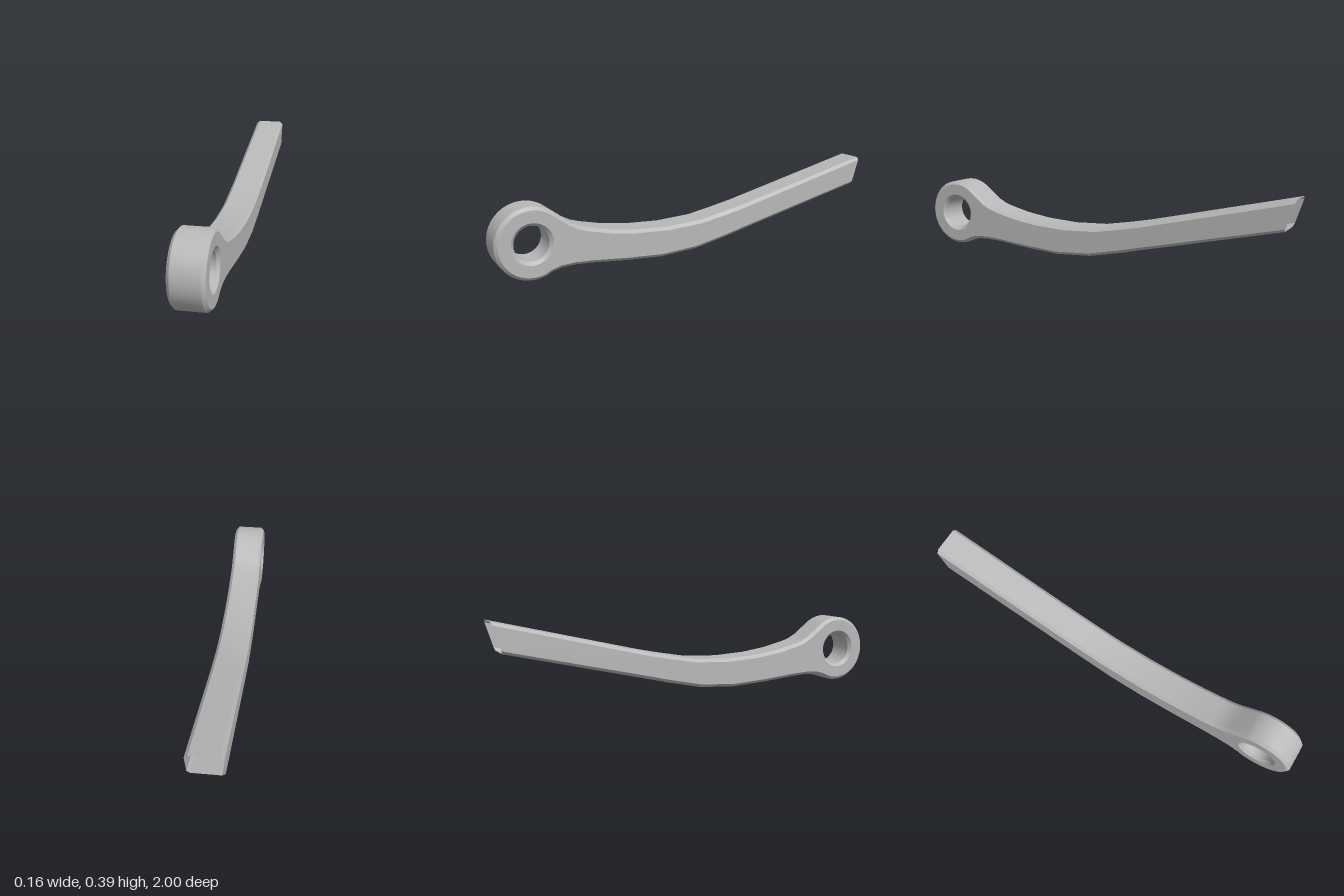
import * as THREE from 'three';

const HALF = 0.078;            // half width at the flat sides
const BEVEL = 0.015;
const EDGE = HALF - BEVEL;     // half width at the rim of the bevel
const EYE = { z: 0.8315, y: 0.1687, r: 0.1687, hole: 0.082 };

const circlePoint = (a, r) => [EYE.z + r * Math.cos(a), EYE.y + r * Math.sin(a)];

// Outline as [z, y]: along the top, round the eye, back along the underside
function outline() {
  const top = [[-1, 0.395], [-0.27, 0.217], [-0.16, 0.194], [-0.02, 0.168], [0.16, 0.158],
    [0.33, 0.166], [0.46, 0.184], [0.57, 0.209], [0.61, 0.222], [0.65, 0.243], [0.695, 0.277]];
  const under = [[0.74, 0.027], [0.7, 0.038], [0.635, 0.042], [0.55, 0.038], [0.38, 0.023],
    [0.195, 0.013], [0.01, 0.026], [-0.16, 0.062], [-0.27, 0.089], [-0.955, 0.253]];
  const arc = [];
  for (let i = 0; i <= 26; i++) {
    arc.push(circlePoint(THREE.MathUtils.degToRad(122 - (233 * i) / 26), EYE.r));
  }
  return [...top, ...arc, ...under];
}

// Move the outline inwards; the two ends slide along the slanted cut
function inset(points, d) {
  const last = points.length - 1;
  return points.map(([z, y], i) => {
    if (i === 0 || i === last) {
      const o = points[last - i];
      const l = Math.hypot(o[0] - z, o[1] - y);
      return [z + (o[0] - z) * d / l, y + (o[1] - y) * d / l];
    }
    const a = points[i - 1], b = points[i + 1];
    const l = Math.hypot(b[0] - a[0], b[1] - a[1]);
    return [z + (b[1] - a[1]) * d / l, y - (b[0] - a[0]) * d / l];
  });
}

// Smooth strip of surface between two matching lines at x = xa and x = xb
function strip(a, xa, b, xb, closed = false) {
  const n = a.length, pos = [], index = [];
  for (let i = 0; i < n; i++) pos.push(xa, a[i][1], a[i][0], xb, b[i][1], b[i][0]);
  for (let i = 0; i < (closed ? n : n - 1); i++) {
    const p = 2 * i, q = 2 * ((i + 1) % n);
    index.push(p, p + 1, q, q, p + 1, q + 1);
  }
  const g = new THREE.BufferGeometry();
  g.setAttribute('position', new THREE.Float32BufferAttribute(pos, 3));
  g.setIndex(index);
  g.computeVertexNormals();
  return g;
}

// Flat side plate with the round hole
function sidePlate(points, hole, side) {
  const flat = (p) => p.map(([z, y]) => new THREE.Vector2(-side * z, y));
  const shape = new THREE.Shape(flat(points));
  shape.holes.push(new THREE.Path(flat(hole)));
  return new THREE.ShapeGeometry(shape).rotateY(side * Math.PI / 2).translate(side * HALF, 0, 0);
}

export function createModel() {
  const group = new THREE.Group();
  group.name = 'leverArm';
  const metal = new THREE.MeshStandardMaterial({ color: 0xb8b8b8, side: THREE.DoubleSide });
  metal.name = 'greyMetal';
  const add = (name, geometry) => {
    const mesh = new THREE.Mesh(geometry, metal);
    mesh.name = name;
    group.add(mesh);
  };

  const outer = outline();
  const inner = inset(outer, BEVEL);
  const ring = (r) => Array.from({ length: 36 }, (_, i) => circlePoint((i / 36) * Math.PI * 2, r));
  const bore = ring(EYE.hole), mouth = ring(EYE.hole + BEVEL);

  // Outer wall and its bevels, left open at the slanted back end
  add('outerWall', strip(outer, EDGE, outer, -EDGE));
  add('leftBevel', strip(inner, HALF, outer, EDGE));
  add('rightBevel', strip(outer, -EDGE, inner, -HALF));

  // Bore through the eye with chamfered mouths
  add('bore', strip(bore, EDGE, bore, -EDGE, true));
  add('leftBoreChamfer', strip(mouth, HALF, bore, EDGE, true));
  add('rightBoreChamfer', strip(bore, -EDGE, mouth, -HALF, true));

  // Flat sides
  add('leftSide', sidePlate(inner, mouth, 1));
  add('rightSide', sidePlate(inner, mouth, -1));
  return group;
}
